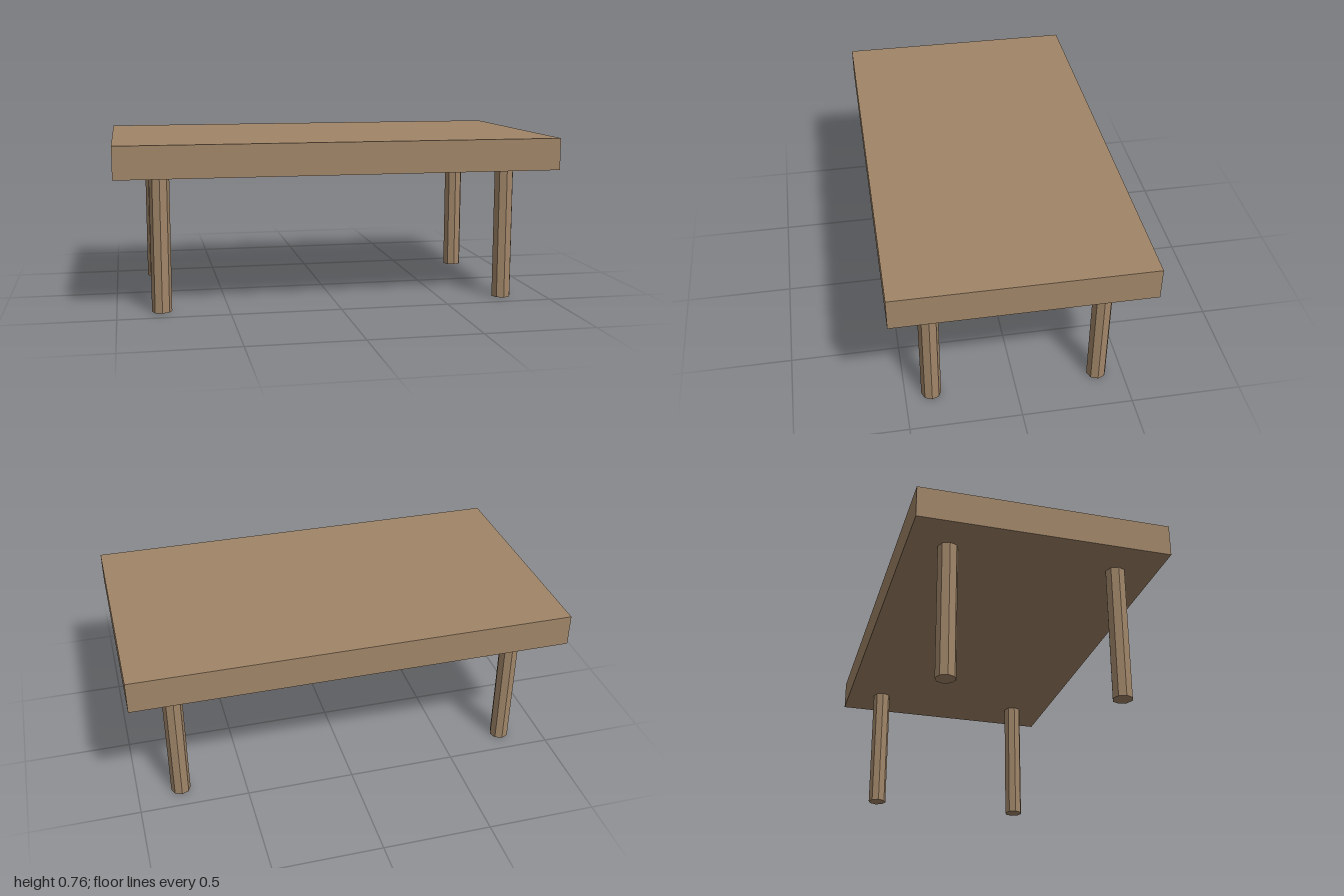
import * as THREE from 'three';

export function createModel() {
  const table = new THREE.Group();
  table.name = 'table';

  const wood = new THREE.MeshStandardMaterial({ color: 0xa08568 });
  wood.name = 'wood';
  wood.flatShading = true;

  const height = 0.765, thickness = 0.145, legHeight = height - thickness;

  // Thick rectangular slab
  const top = new THREE.Mesh(new THREE.BoxGeometry(2, thickness, 1.126), wood);
  top.name = 'tableTop';
  top.position.y = legHeight + thickness / 2;
  table.add(top);

  // Four eight-sided legs, inset from the corners
  const legGeometry = new THREE.CylinderGeometry(0.045, 0.045, legHeight, 8);
  for (const [side, x] of [['Left', 0.8], ['Right', -0.8]]) {
    for (const [end, z] of [['front', 0.382], ['back', -0.382]]) {
      const leg = new THREE.Mesh(legGeometry, wood);
      leg.name = `${end}${side}Leg`;
      leg.position.set(x, legHeight / 2, z);
      table.add(leg);
    }
  }

  return table;
}
